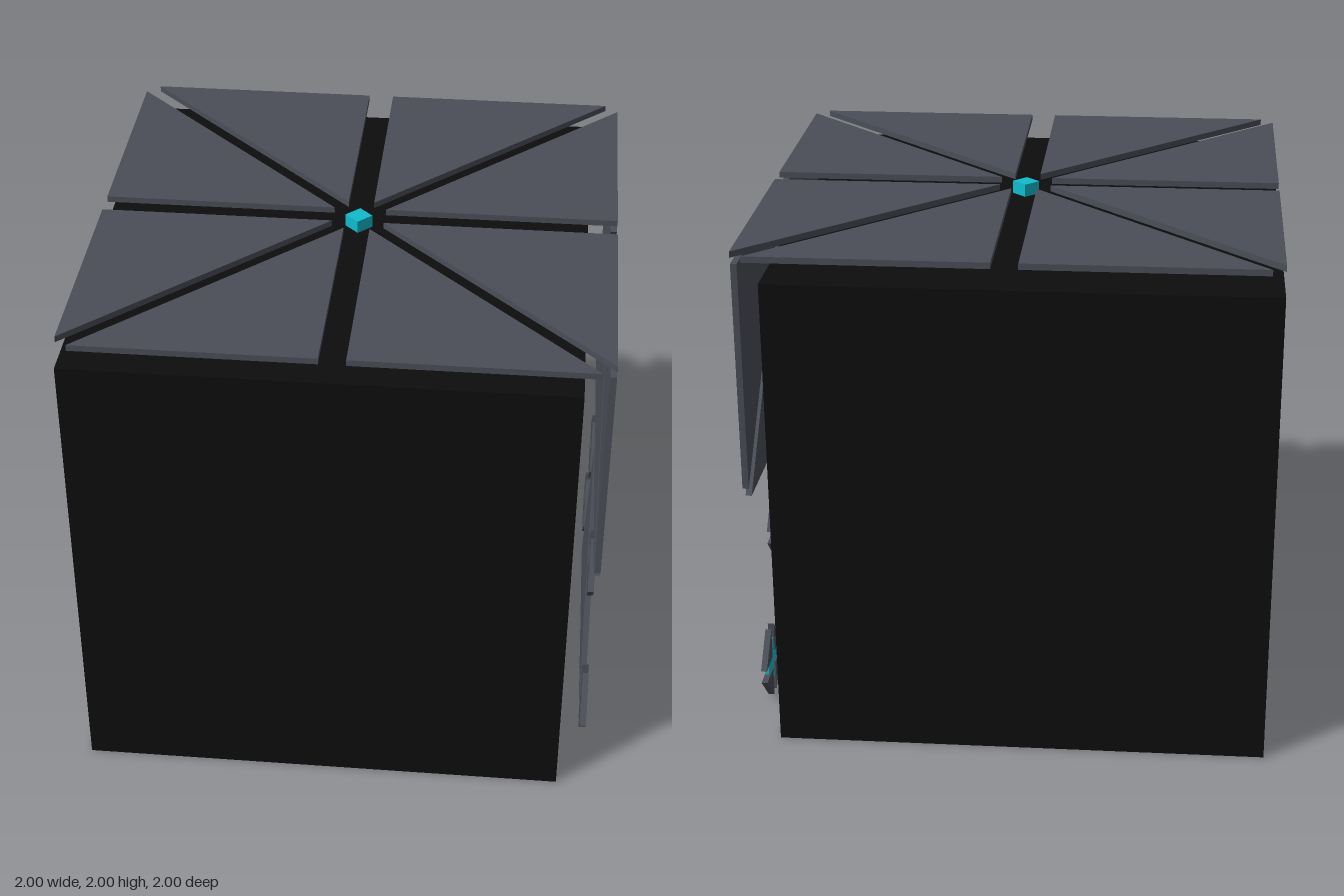
import * as THREE from 'three';

const black = new THREE.MeshStandardMaterial({ name: 'black body', color: 0x0d0d0d });
const grey = new THREE.MeshStandardMaterial({ name: 'slate panel', color: 0x4a4e57 });
const cyan = new THREE.MeshStandardMaterial({ name: 'cyan glow', color: 0x10bccd });

const THICK = 0.024;
const SIGNS = [1, -1];

// Flat plate extruded from an outline of [u, v] points
function plate(name, points, material, depth = THICK) {
  const shape = new THREE.Shape(points.map(([u, v]) => new THREE.Vector2(u, v)));
  const geometry = new THREE.ExtrudeGeometry(shape, { depth, bevelEnabled: false });
  const mesh = new THREE.Mesh(geometry, material);
  mesh.name = name;
  return mesh;
}

// Diamond of four triangles around a small glowing cross
function createEmblem(u, v) {
  const emblem = new THREE.Group();
  emblem.name = 'emblem';
  for (const a of SIGNS) for (const b of SIGNS) {
    emblem.add(plate('emblemPetal',
      [[a * 0.025, b * 0.026], [a * 0.15, b * 0.026], [a * 0.025, b * 0.15]], grey));
  }
  const w = 0.0225, r = 0.0875;
  const cross = plate('emblemCross', [
    [w, w], [w, r], [-w, r], [-w, w], [-r, w], [-r, -w],
    [-w, -w], [-w, -r], [w, -r], [w, -w], [r, -w], [r, w],
  ], cyan, 0.014);
  cross.position.z = 0.005;
  emblem.add(cross);
  emblem.position.set(u, v, 0);
  return emblem;
}

export function createModel() {
  const model = new THREE.Group();
  model.name = 'panelledCube';

  // Main block
  const body = new THREE.Mesh(new THREE.BoxGeometry(1.89, 1.89, 2), black);
  body.name = 'body';
  body.position.set(-0.055, 0.945, 0);
  model.add(body);

  // Eight triangular plates floating over the top
  const top = new THREE.Group();
  top.name = 'topPanels';
  for (const a of SIGNS) for (const b of SIGNS) {
    top.add(plate('topPanel', [[a * 0.05, b * 0.1], [a * 0.05, b], [a * 0.95, b]], grey));
    top.add(plate('topPanel', [[a * 0.1, b * 0.05], [a, b * 0.05], [a, b * 0.95]], grey));
  }
  top.rotation.x = -Math.PI / 2;
  top.position.y = 1.97;
  model.add(top);

  // Small gem turned on its corner at the centre of the top
  const gem = new THREE.Mesh(new THREE.BoxGeometry(0.0735, 0.05, 0.0735), cyan);
  gem.name = 'topGem';
  gem.rotation.y = Math.PI / 4;
  gem.position.y = 1.97;
  model.add(gem);

  // Plates and emblems floating beside the left face
  const side = new THREE.Group();
  side.name = 'sidePanels';
  side.add(plate('upperPanel', [[-0.9, 1], [0.9, 1], [0, 1.945]], grey));
  side.add(plate('lowerPanel', [[-0.5, 0], [0.5, 0], [0, 0.945]], grey));
  for (const s of SIGNS) {
    side.add(plate('cornerPanel', [[s * 0.05, 1.945], [s * 0.945, 1.945], [s * 0.945, 1.05]], grey));
    side.add(createEmblem(s * 0.4, 0.65));
    side.add(createEmblem(s * 0.648, 0.15));
  }
  side.rotation.y = Math.PI / 2;
  side.position.x = 1 - THICK;
  model.add(side);

  return model;
}
